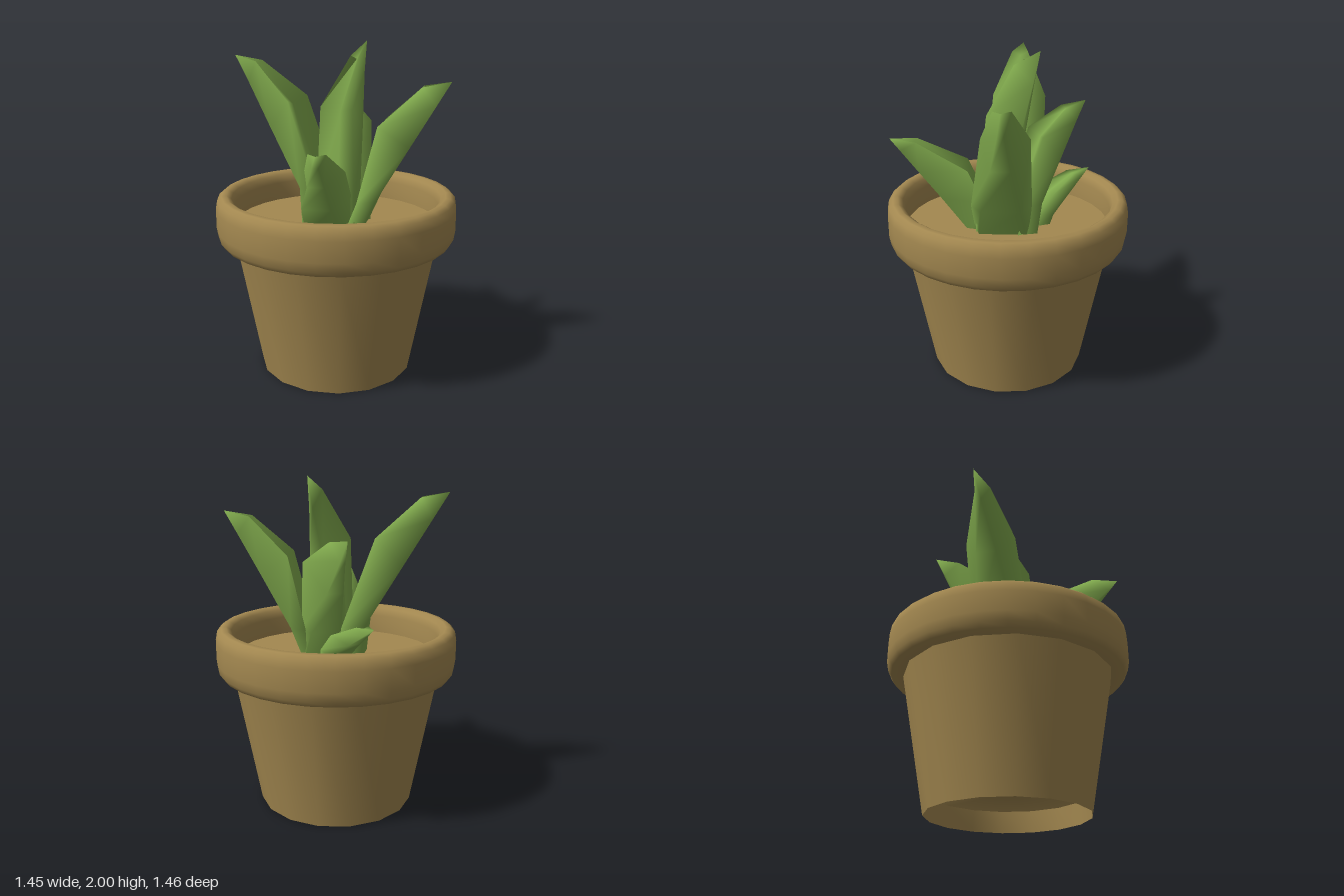
import * as THREE from 'three';
import { toCreasedNormals } from 'three/addons/utils/BufferGeometryUtils.js';

const clay = new THREE.MeshStandardMaterial({ color: 0xa38850 });
const green = new THREE.MeshStandardMaterial({ color: 0x7fa84c });

function addMesh(group, name, geometry, material) {
  const mesh = new THREE.Mesh(geometry, material);
  mesh.name = name;
  group.add(mesh);
  return mesh;
}

function lathe(profile, sides, crease) {
  const points = profile.map(([r, y]) => new THREE.Vector2(r, y));
  return toCreasedNormals(new THREE.LatheGeometry(points, sides), crease);
}

// Leaf: channel-shaped sections (two keel corners, edge, trough, edge) that run
// to a point. The keel rises from the foot, then runs straight to the tip; the
// inner side follows foot, stem, knee and shoulder.
function leafGeometry({ foot, keel, inner, tip, widths }) {
  const tipPoint = new THREE.Vector3(...tip);
  const keelPoint = new THREE.Vector3(...keel);
  const outward = tipPoint.clone().sub(new THREE.Vector3(...inner[0])).setY(0).normalize();
  const side = new THREE.Vector3(0, 1, 0).cross(outward);
  const outerLine = [
    new THREE.Vector3(...foot),
    ...[0, 0.45, 0.8].map((t) => keelPoint.clone().lerp(tipPoint, t)),
  ];
  const keelWidth = [0.85, 0.65, 0.4, 0.35];
  const positions = [];
  inner.forEach((p, i) => {
    const middle = new THREE.Vector3(...p);
    const outer = outerLine[i];
    const ring = [
      outer.clone().addScaledVector(side, widths[i] * keelWidth[i]),
      middle.clone().addScaledVector(side, widths[i]),
      middle.clone().lerp(outer, 0.2),
      middle.clone().addScaledVector(side, -widths[i]),
      outer.clone().addScaledVector(side, -widths[i] * keelWidth[i]),
    ];
    ring.forEach((v) => positions.push(v.x, v.y, v.z));
  });
  positions.push(...tip);
  const n = 5;
  const index = [];
  for (let j = 0; j < n; j++) {
    const k = (j + 1) % n;
    for (let s = 0; s < 3 * n; s += n) {
      index.push(s + j, s + k, s + n + k, s + j, s + n + k, s + n + j);
    }
    index.push(3 * n + j, 3 * n + k, 4 * n);
  }
  const geometry = new THREE.BufferGeometry();
  geometry.setAttribute('position', new THREE.Float32BufferAttribute(positions, 3));
  geometry.setIndex(index);
  geometry.computeVertexNormals();
  return geometry;
}

const leaves = {
  leafRight: {
    foot: [-0.17, 0.9, -0.01], keel: [-0.2, 1.14, -0.01], tip: [-0.66, 1.91, 0],
    inner: [[-0.03, 0.9, -0.02], [-0.07, 1.14, -0.02], [-0.26, 1.66, -0.03], [-0.5, 1.88, 0]],
    widths: [0.18, 0.18, 0.16, 0.05],
  },
  leafLeft: {
    foot: [0.18, 0.9, 0], keel: [0.27, 1.1, 0], tip: [0.67, 1.79, -0.07],
    inner: [[0.09, 0.9, 0.01], [0.17, 1.1, 0.01], [0.27, 1.54, -0.03], [0.51, 1.76, -0.05]],
    widths: [0.17, 0.18, 0.14, 0.05],
  },
  leafFront: {
    foot: [0.02, 0.9, 0.23], keel: [0.03, 1.1, 0.4], tip: [0.14, 1.47, 0.68],
    inner: [[0.02, 0.9, 0.08], [0.02, 1.1, 0.15], [0.02, 1.29, 0.24], [0.09, 1.45, 0.53]],
    widths: [0.14, 0.13, 0.12, 0.05],
  },
  leafCentre: {
    foot: [0.06, 0.9, -0.03], keel: [0.07, 1.1, -0.02], tip: [0.12, 2, -0.2],
    inner: [[0.05, 0.9, 0.14], [0.04, 1.1, 0.13], [0.03, 1.63, 0.08], [0.095, 1.92, -0.06]],
    widths: [0.13, 0.13, 0.11, 0.03],
  },
  leafBack: {
    foot: [0.04, 0.9, -0.14], keel: [0.02, 1.1, -0.18], tip: [-0.16, 1.67, -0.44],
    inner: [[0.06, 0.9, -0.02], [0.06, 1.1, -0.06], [0.04, 1.52, -0.17], [-0.07, 1.65, -0.32]],
    widths: [0.15, 0.14, 0.12, 0.04],
  },
  leafBackLow: {
    foot: [-0.06, 0.9, -0.2], keel: [-0.08, 0.98, -0.24], tip: [-0.31, 1.2, -0.47],
    inner: [[-0.02, 0.9, -0.1], [-0.03, 1, -0.14], [-0.1, 1.11, -0.22], [-0.23, 1.19, -0.36]],
    widths: [0.1, 0.1, 0.09, 0.04],
  },
};

export function createModel() {
  const model = new THREE.Group();
  model.name = 'pottedPlant';

  // Tapered pot with a recessed underside
  const pot = new THREE.Group();
  pot.name = 'pot';
  model.add(pot);
  addMesh(pot, 'potWall', lathe([[0.47, 0.13], [0.475, 0], [0.63, 0.83]], 16, 0.6), clay);
  const bottomGeometry = new THREE.CircleGeometry(0.475, 16);
  // Normals lean outward, so the underside blends softly into the wall
  const { position, normal } = bottomGeometry.attributes;
  for (let i = 0; i < position.count; i++) {
    const n = new THREE.Vector3(position.getX(i) / 0.475, position.getY(i) / 0.475, 0.4).normalize();
    normal.setXYZ(i, n.x, n.y, n.z);
  }
  const bottom = addMesh(pot, 'potBottom', bottomGeometry, clay);
  bottom.rotation.x = Math.PI / 2;
  bottom.position.y = 0.13;

  // Rounded rim
  addMesh(pot, 'potRim', lathe([
    [0.6, 0.825], [0.7, 0.825], [0.72, 0.855], [0.73, 0.91], [0.73, 1.03], [0.72, 1.085],
    [0.695, 1.107], [0.665, 1.11], [0.635, 1.09], [0.62, 1.04], [0.62, 0.89],
  ], 30, 1.6), clay);

  // Soil
  const soil = addMesh(model, 'soil', new THREE.CircleGeometry(0.625, 30), clay);
  soil.rotation.x = -Math.PI / 2;
  soil.position.y = 0.925;

  // Leaves
  const plant = new THREE.Group();
  plant.name = 'plant';
  model.add(plant);
  for (const [name, leaf] of Object.entries(leaves)) {
    addMesh(plant, name, leafGeometry(leaf), green);
  }
  return model;
}
